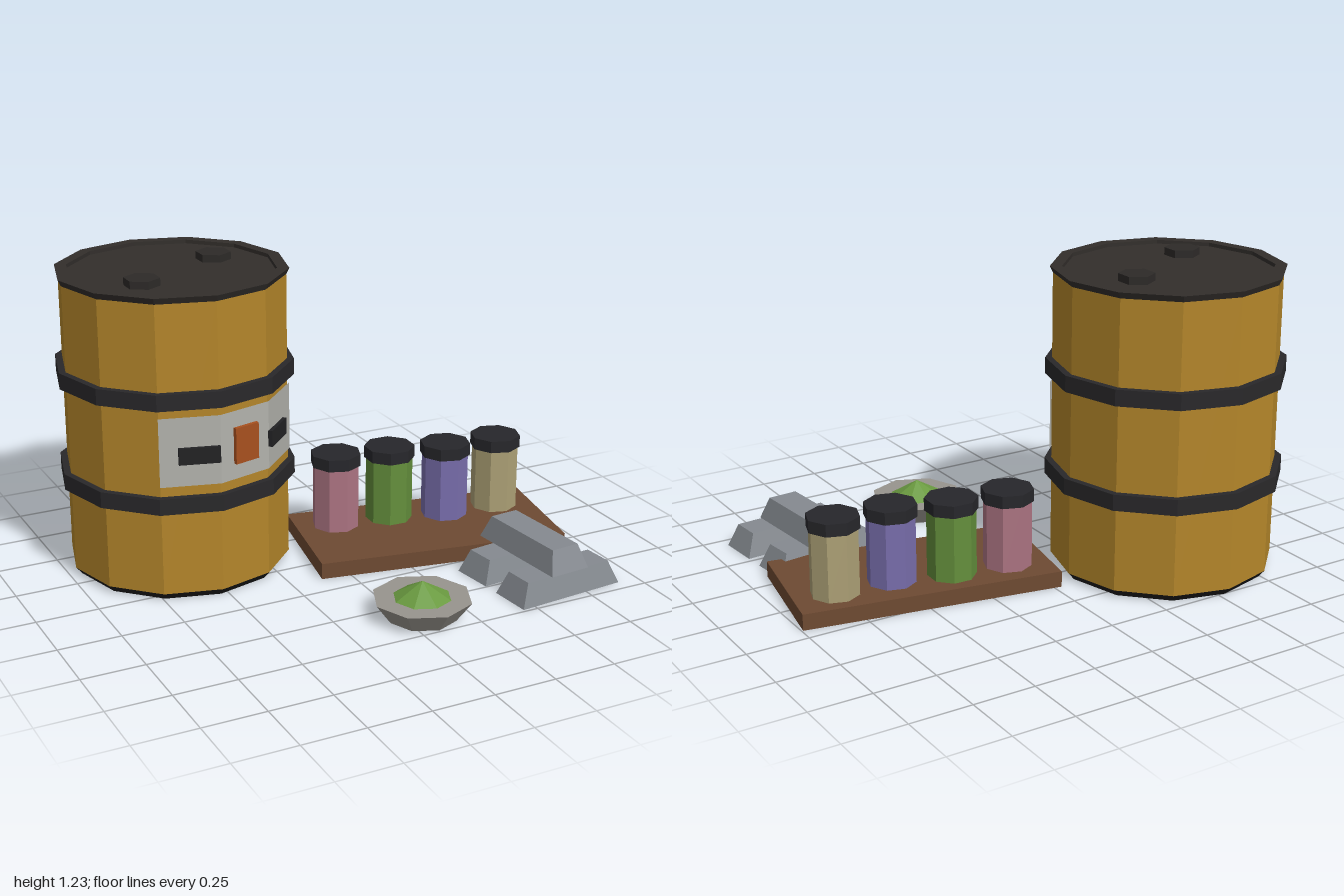
import * as THREE from 'three';

const RAD = Math.PI / 180;

function mesh(name, geometry, color, x = 0, y = 0, z = 0, side = THREE.FrontSide) {
  const m = new THREE.Mesh(geometry, new THREE.MeshStandardMaterial({ color, flatShading: true, side }));
  m.name = name;
  m.position.set(x, y, z);
  return m;
}

// Upright prism or frustum between two heights
function drum(name, rTop, rBottom, y0, y1, sides, color, x = 0, z = 0) {
  const g = new THREE.CylinderGeometry(rTop, rBottom, y1 - y0, sides);
  return mesh(name, g, color, x, (y0 + y1) / 2, z);
}

function createBarrel() {
  const barrel = new THREE.Group();
  barrel.name = 'barrel';
  const dark = 0x29282a;
  barrel.add(drum('barrelBase', 0.445, 0.42, 0, 0.03, 12, 0x1e1d1d));
  barrel.add(drum('barrelBody', 0.445, 0.445, 0.03, 1.19, 12, 0xb4862a));
  for (const y of [0.37, 0.785]) barrel.add(drum('hoop', 0.472, 0.472, y, y + 0.065, 12, dark));

  // Flared rim with a sunken lid
  const rim = [[0.445, 1.19], [0.457, 1.215], [0.41, 1.215], [0.41, 1.2], [0, 1.2]];
  barrel.add(mesh('rimAndLid', new THREE.LatheGeometry(rim.map(p => new THREE.Vector2(...p)), 12), 0x322e2b));
  for (const [x, z] of [[0.21, -0.08], [-0.18, 0.155]])
    barrel.add(drum('bung', 0.07, 0.07, 1.195, 1.23, 6, 0x2d2a28, x, z));

  // Label wrapped over three sides of the barrel
  const label = new THREE.CylinderGeometry(0.452, 0.452, 0.275, 3, 1, true, -30 * RAD, 90 * RAD);
  barrel.add(mesh('label', label, 0xb2b2ac, 0, 0.6125, 0, THREE.DoubleSide));

  // Marks lying flat on the label: side angle, shift along the side, width, height, colour
  const marks = [[-15, 0.035, 0.16, 0.065, 0x222224], [15, 0, 0.11, 0.145, 0xa8501f], [45, -0.04, 0.16, 0.065, 0x222224]];
  for (const [deg, shift, w, h, color] of marks) {
    const a = deg * RAD, r = 0.442;
    const mark = mesh('labelMark', new THREE.BoxGeometry(w, h, 0.02), color,
      Math.sin(a) * r + Math.cos(a) * shift, h > 0.1 ? 0.612 : 0.598, Math.cos(a) * r - Math.sin(a) * shift);
    mark.rotation.y = a;
    barrel.add(mark);
  }
  barrel.position.set(-0.53, 0, -0.333);
  return barrel;
}

function createJar(x, z, turn, color) {
  const jar = new THREE.Group();
  jar.name = 'jar';
  jar.add(drum('jarBody', 0.097, 0.097, 0.06, 0.335, 8, color));
  jar.add(drum('jarLid', 0.105, 0.105, 0.335, 0.385, 8, 0x27272b));
  jar.position.set(x, 0, z);
  jar.rotation.y = turn;
  return jar;
}

// Bar with all four sides sloping in towards the top
function createIngot(x, y, z, deg) {
  const l = 0.468, w = 0.176, h = 0.093;
  const g = new THREE.BoxGeometry(l, h, w);
  const p = g.attributes.position;
  for (let i = 0; i < p.count; i++) {
    if (p.getY(i) < 0) continue;
    p.setX(i, Math.sign(p.getX(i)) * (l / 2 - 0.038));
    p.setZ(i, Math.sign(p.getZ(i)) * (w / 2 - 0.027));
  }
  g.computeVertexNormals();
  const ingot = mesh('ingot', g, 0x858a90, x, y + h / 2, z);
  ingot.rotation.y = deg * RAD;
  return ingot;
}

export function createModel() {
  const model = new THREE.Group();
  model.name = 'tradeGoods';
  model.add(createBarrel());

  // Board with four jars
  const board = mesh('board', new THREE.BoxGeometry(1.04, 0.065, 0.52), 0x6e4a32, 0.437, 0.0325, -0.02);
  board.rotation.y = -10 * RAD;
  model.add(board);
  const jars = [[0.108, -0.187, 0.05, 0xac7482], [0.342, -0.157, 0.36, 0x648f3c], [0.57, -0.09, 0.1, 0x786dab], [0.806, -0.077, 0.08, 0xaca075]];
  for (const j of jars) model.add(createJar(...j));

  // Dish with a heap of powder
  model.add(drum('dish', 0.194, 0.135, 0, 0.08, 8, 0x98948e, 0.073, 0.605));
  const heap = new THREE.ConeGeometry(0.115, 0.067, 8);
  model.add(mesh('powderHeap', heap, 0x6a9a40, 0.073, 0.1125, 0.605));

  // Stacked ingots
  model.add(createIngot(0.645, 0, 0.38, 7));
  model.add(createIngot(0.67, 0, 0.63, 5));
  model.add(createIngot(0.657, 0.093, 0.467, -85));
  return model;
}
